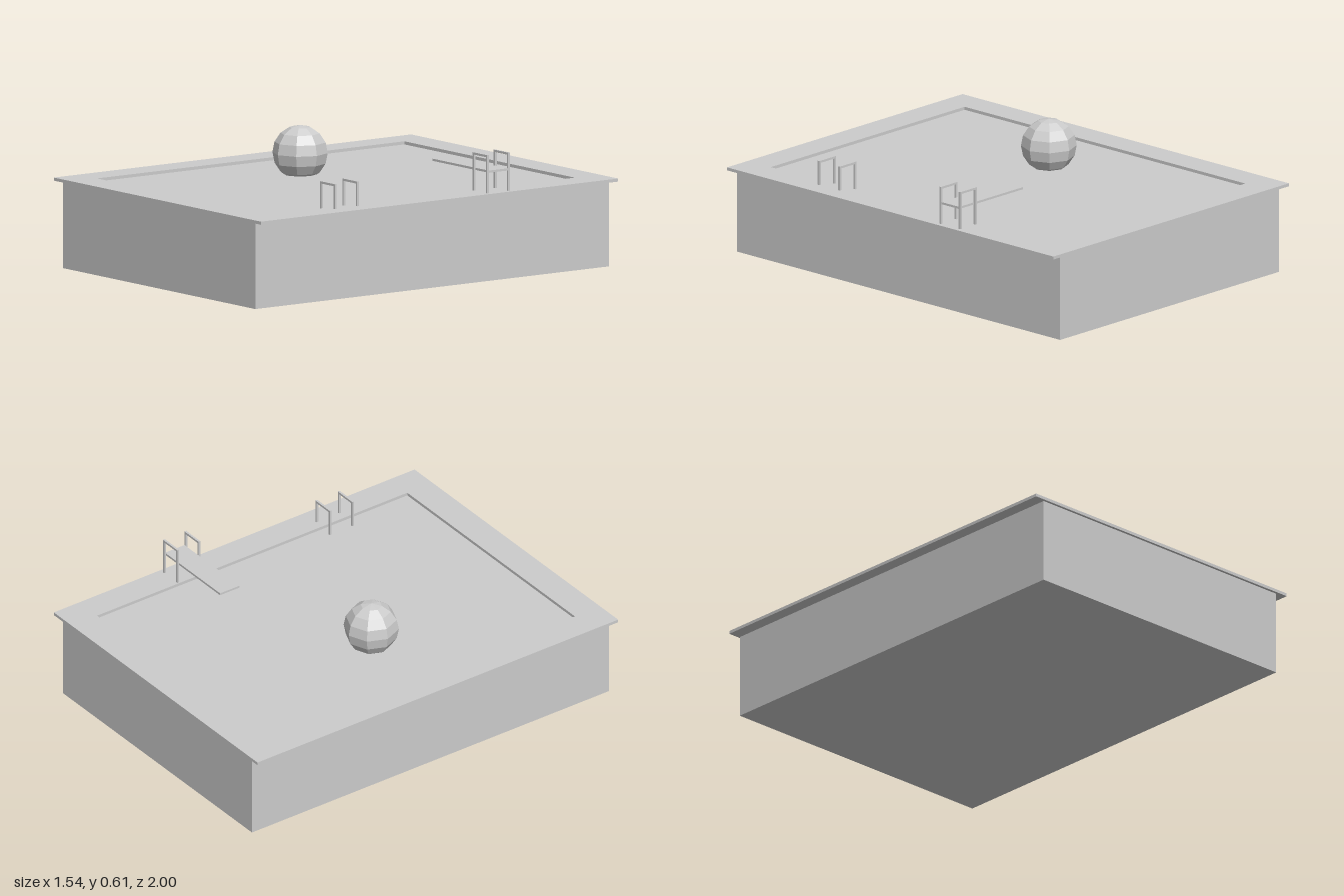
import * as THREE from 'three';

const material = new THREE.MeshStandardMaterial({ color: 0xcccccc, flatShading: true });

function addMesh(parent, name, geometry, x = 0, y = 0, z = 0) {
  const mesh = new THREE.Mesh(geometry, material);
  mesh.name = name;
  mesh.position.set(x, y, z);
  parent.add(mesh);
  return mesh;
}

function rectangle(target, w, h) {
  target.moveTo(-w, -h);
  target.lineTo(w, -h);
  target.lineTo(w, h);
  target.lineTo(-w, h);
  target.closePath();
  return target;
}

// Square-section hoop: two legs and a top bar
function addHandrail(parent, name, x0, x1, base0, base1, top, z) {
  const t = 0.01;
  const rail = new THREE.Group();
  rail.name = name;
  for (const [x, base] of [[x0 + t / 2, base0], [x1 - t / 2, base1]]) {
    addMesh(rail, 'railLeg', new THREE.BoxGeometry(t, top - base, t), x, (top + base) / 2, z);
  }
  addMesh(rail, 'railBar', new THREE.BoxGeometry(x1 - x0, t, t), (x0 + x1) / 2, top - t / 2, z);
  parent.add(rail);
}

export function createModel() {
  const model = new THREE.Group();
  model.name = 'swimmingPool';

  // Basin, its top face being the water surface
  addMesh(model, 'basin', new THREE.BoxGeometry(1.43, 0.388, 1.98), 0, 0.194, 0);

  // Overhanging deck with a rectangular opening
  const deckShape = rectangle(new THREE.Shape(), 0.77, 1);
  deckShape.holes.push(rectangle(new THREE.Path(), 0.634, 0.86));
  const deck = new THREE.ExtrudeGeometry(deckShape, { depth: 0.014, bevelEnabled: false });
  deck.rotateX(-Math.PI / 2);
  addMesh(model, 'deck', deck, 0, 0.39, 0);

  // Faceted beach ball floating partly submerged
  addMesh(model, 'beachBall', new THREE.SphereGeometry(0.125, 8, 8), -0.267, 0.485, 0);

  // Diving board between two handrails
  const diving = new THREE.Group();
  diving.name = 'divingBoard';
  addMesh(diving, 'board', new THREE.BoxGeometry(0.417, 0.01, 0.108), 0.538, 0.501, -0.347);
  for (const z of [-0.405, -0.287]) addHandrail(diving, 'boardRail', 0.641, 0.749, 0.4, 0.4, 0.577, z);
  model.add(diving);

  // Ladder rails straddling the pool edge
  const ladder = new THREE.Group();
  ladder.name = 'ladder';
  for (const z of [0.393, 0.518]) addHandrail(ladder, 'ladderRail', 0.576, 0.686, 0.38, 0.4, 0.516, z);
  model.add(ladder);

  return model;
}
